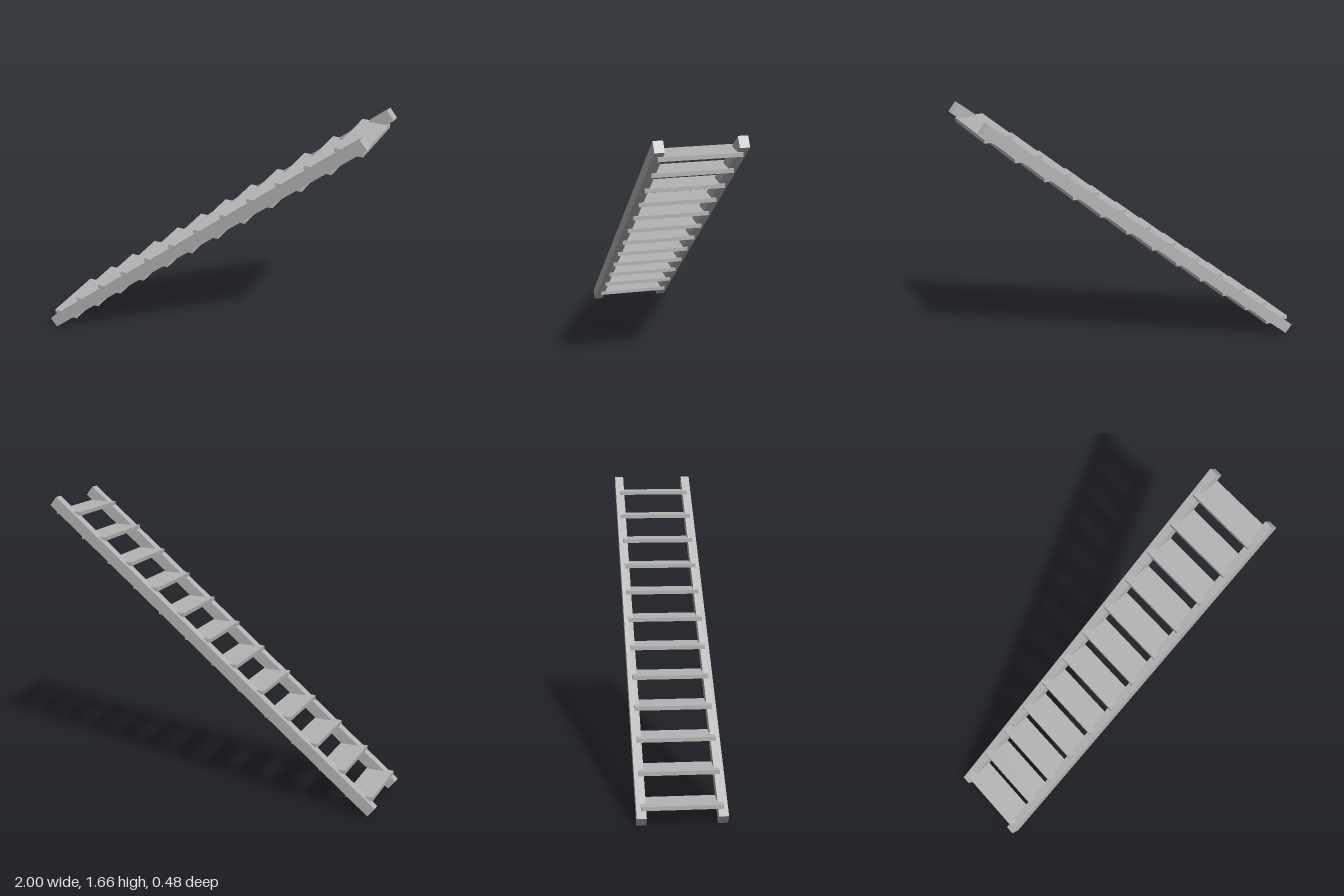
import * as THREE from 'three';

export function createModel() {
  const model = new THREE.Group();
  model.name = 'openTreadStairs';
  const grey = new THREE.MeshStandardMaterial({ color: 0xb4b4b4 });
  grey.name = 'plain grey';

  const addBox = (name, size, position, tilt = 0) => {
    const mesh = new THREE.Mesh(new THREE.BoxGeometry(...size), grey);
    mesh.name = name;
    mesh.position.set(...position);
    mesh.rotation.z = tilt;
    model.add(mesh);
  };

  // Two sloping side rails
  const tilt = Math.atan2(1.61, 1.959);
  for (const side of [-1, 1]) {
    addBox(side > 0 ? 'frontRail' : 'backRail', [2.536, 0.065, 0.052], [0, 0.83, side * 0.213], tilt);
  }

  // Level treads let into both rails
  const count = 12;
  for (let i = 0; i < count; i++) {
    const t = i / (count - 1);
    addBox(`tread${i + 1}`, [0.157, 0.022, 0.428],
      [THREE.MathUtils.lerp(-0.902, 0.895, t), THREE.MathUtils.lerp(0.095, 1.567, t), 0]);
  }

  return model;
}
